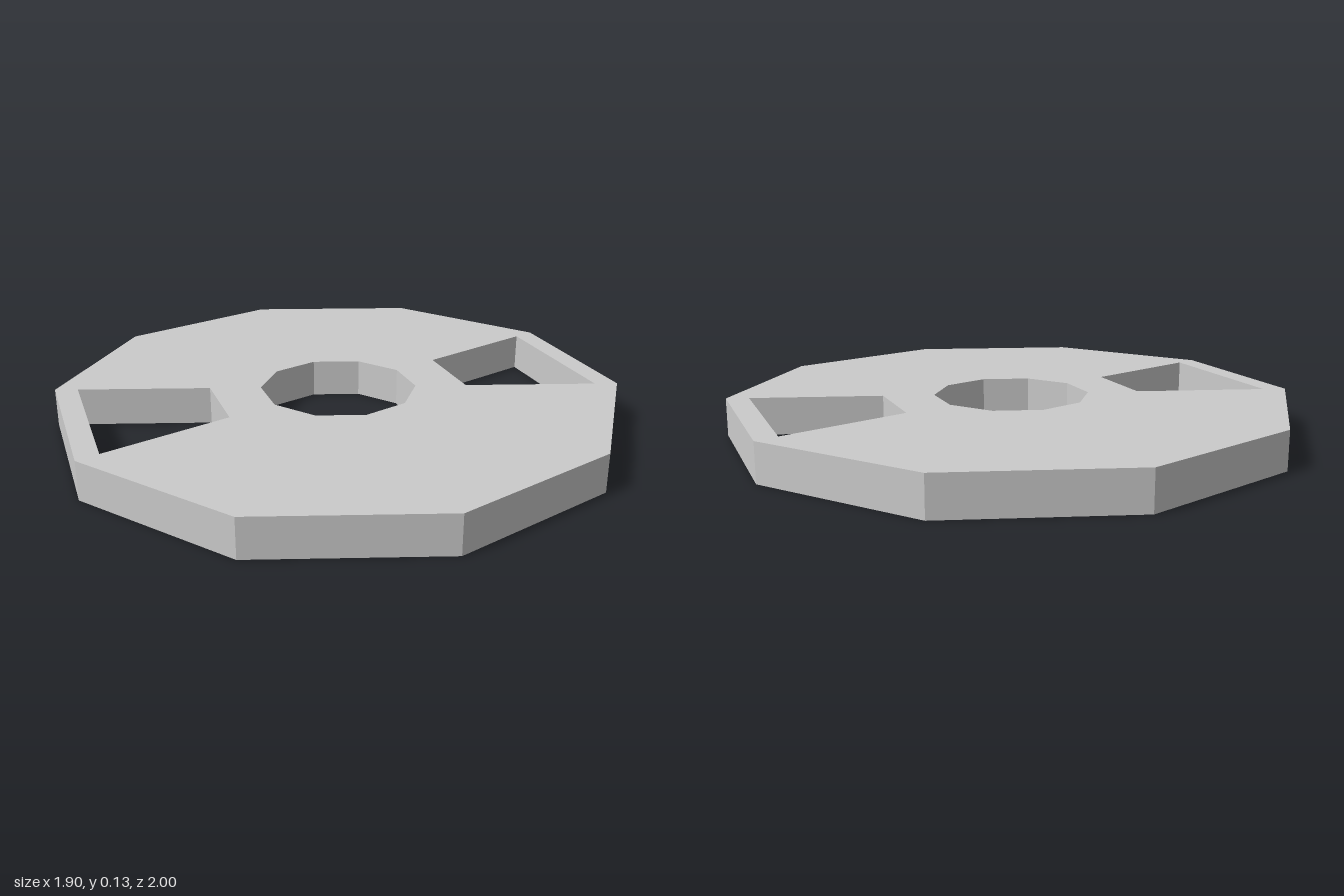
import * as THREE from 'three';

const STEP = Math.PI / 5; // ten-sided wheel
const START = Math.PI / 10;
const OUTER = 1, HUB = 0.275, WINDOW_IN = 0.455, WINDOW_OUT = 0.92, HEIGHT = 0.133;

// Corner i of a decagon with the given radius
const corner = (r, i) => new THREE.Vector2(
  r * Math.cos(START + i * STEP),
  r * Math.sin(START + i * STEP)
);
const decagon = (r) => Array.from({ length: 10 }, (_, i) => corner(r, i));

export function createModel() {
  const group = new THREE.Group();
  group.name = 'slottedDisc';

  // Disc outline with the central bore
  const shape = new THREE.Shape(decagon(OUTER));
  shape.holes.push(new THREE.Path(decagon(HUB)));

  // Two opposite wedge windows, each spanning one side of the decagon
  for (const i of [0, 5]) {
    shape.holes.push(new THREE.Path([
      corner(WINDOW_IN, i), corner(WINDOW_OUT, i),
      corner(WINDOW_OUT, i + 1), corner(WINDOW_IN, i + 1),
    ]));
  }

  // Lay the plate flat on the ground
  const geometry = new THREE.ExtrudeGeometry(shape, { depth: HEIGHT, bevelEnabled: false });
  geometry.rotateX(-Math.PI / 2);

  const disc = new THREE.Mesh(
    geometry,
    new THREE.MeshStandardMaterial({ color: 0xcccccc, flatShading: true })
  );
  disc.name = 'disc';
  group.add(disc);
  return group;
}
